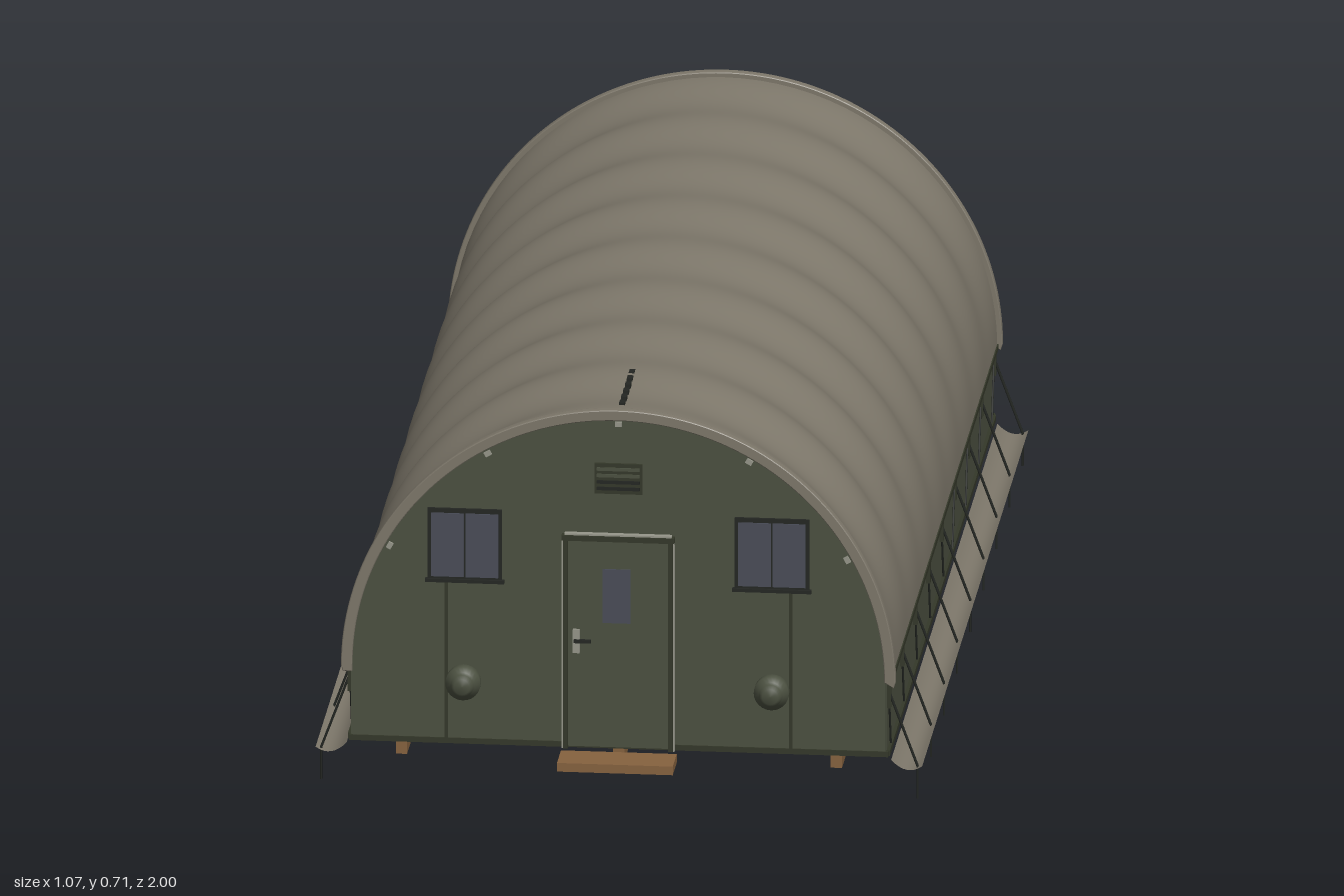
import * as THREE from 'three';

const mat = (name, color, side = THREE.FrontSide) => {
  const m = new THREE.MeshStandardMaterial({ color, side });
  m.name = name;
  return m;
};

export function createModel() {
  const model = new THREE.Group();
  model.name = 'tentShelter';
  const M = {
    canvas: mat('taupe canvas', 0x7d776a, THREE.DoubleSide),
    green: mat('olive fabric', 0x4b5040),
    trim: mat('dark olive trim', 0x343829),
    glass: mat('smoky glass', 0x4a4d58),
    black: mat('black cord', 0x232622),
    floor: mat('floor sheet', 0x25292c),
    wood: mat('timber', 0x86623f),
    metal: mat('pale metal', 0x96968a),
  };
  const RIBS = Array.from({ length: 9 }, (_, i) => -0.92 + i * 0.23);
  const CY = 0.22; // springing height of the arch

  const add = (parent, name, geo, material, x = 0, y = 0, z = 0) => {
    const mesh = new THREE.Mesh(geo, material);
    mesh.name = name;
    mesh.position.set(x, y, z);
    parent.add(mesh);
    return mesh;
  };
  const box = (parent, name, material, w, h, d, x, y, z) =>
    add(parent, name, new THREE.BoxGeometry(w, h, d), material, x, y, z);
  const rod = (parent, name, material, a, b, r) => {
    const A = new THREE.Vector3(...a), B = new THREE.Vector3(...b);
    const mesh = add(parent, name, new THREE.CylinderGeometry(r, r, A.distanceTo(B), 6), material);
    mesh.position.copy(A).add(B).multiplyScalar(0.5);
    mesh.quaternion.setFromUnitVectors(new THREE.Vector3(0, 1, 0), B.sub(A).normalize());
    return mesh;
  };
  // Arched outline with straight legs down to yLow
  const archShape = (r, yLow) => {
    const s = new THREE.Shape();
    s.moveTo(-r, yLow);
    s.lineTo(r, yLow);
    s.lineTo(r, CY);
    s.absarc(0, CY, r, 0, Math.PI, false);
    s.lineTo(-r, yLow);
    return s;
  };

  // Canvas roof: barrel that sags between the ribs, most at the haunches
  const roof = new THREE.PlaneGeometry(1, 1, 48, 128);
  const p = roof.attributes.position;
  for (let i = 0; i < p.count; i++) {
    const t = (0.5 - p.getX(i)) * Math.PI;
    const z = -p.getY(i) * 1.86;
    const wave = Math.sin((z / 0.23) * Math.PI) ** 2;
    const r = 0.482 - wave * (0.01 * Math.sin(t) + 0.014 * Math.sin(2 * t) ** 2);
    p.setXYZ(i, r * Math.cos(t), CY + r * Math.sin(t), z);
  }
  roof.computeVertexNormals();
  add(model, 'roofCanvas', roof, M.canvas);

  // Hoop trims closing the roof at both ends
  const hoop = new THREE.Shape();
  hoop.absarc(0, CY, 0.491, 0, Math.PI, false);
  hoop.lineTo(-0.488, 0.21);
  hoop.lineTo(-0.471, 0.21);
  hoop.absarc(0, CY, 0.471, Math.PI, 0, true);
  hoop.lineTo(0.488, 0.21);
  for (const z of [0.936, -0.936]) {
    const g = new THREE.ExtrudeGeometry(hoop, {
      depth: 0.01, curveSegments: 48, bevelEnabled: true,
      bevelThickness: 0.004, bevelSize: 0.002, bevelOffset: -0.002, bevelSegments: 2,
    });
    add(model, 'endHoop', g, M.canvas, 0, 0, z - 0.005);
  }

  // Timber runners, floor sheet and steps
  box(model, 'floor', M.floor, 0.945, 0.008, 1.86, 0, 0.084, 0);
  for (const x of [-0.385, 0, 0.385]) box(model, 'runner', M.wood, 0.02, 0.025, 1.86, x, 0.0675, 0);
  for (const z of [-0.965, 0.965]) box(model, 'step', M.wood, 0.205, 0.016, 0.07, 0, 0.063, z);

  // Vent slots along the ridge near the front
  for (let i = 0; i < 6; i++) box(model, 'ridgeSlot', M.black, 0.01, 0.008, 0.018, 0, 0.699, 0.70 + i * 0.034);

  // Side walls, ground flaps, stakes and guy lines
  for (const s of [-1, 1]) {
    box(model, 'sideWall', M.green, 0.006, 0.145, 1.86, s * 0.471, 0.1525, 0);
    box(model, 'wallHem', M.trim, 0.008, 0.01, 1.86, s * 0.476, 0.085, 0);
    box(model, 'roofHem', M.trim, 0.008, 0.01, 1.86, s * 0.48, 0.217, 0);

    const flap = new THREE.PlaneGeometry(1, 1.86, 8, 1);
    flap.rotateX(-Math.PI / 2);
    const f = flap.attributes.position;
    for (let i = 0; i < f.count; i++) {
      const u = f.getX(i) + 0.5;
      f.setX(i, 0.482 + u * 0.055);
      f.setY(i, 0.055 + 0.05 * (u - 0.6) ** 2);
    }
    if (s < 0) flap.rotateY(Math.PI);
    flap.computeVertexNormals();
    add(model, 'groundFlap', flap, M.canvas);

    for (const z of RIBS) {
      rod(model, 'stake', M.black, [s * 0.528, 0, z], [s * 0.528, 0.062, z], 0.002);
      rod(model, 'guyLine', M.black, [s * 0.478, 0.195, z], [s * 0.528, 0.06, z], 0.0025);
      rod(model, 'wallCord', M.black, [s * 0.477, 0.2, z], [s * 0.477, 0.09, z - Math.sign(z || 1) * 0.035], 0.002);
      box(model, 'strapLoop', M.trim, 0.008, 0.045, 0.012, s * 0.477, 0.19, z);
    }
  }

  // End walls, built facing +z; the rear one is turned round
  const endWall = (front) => {
    const g = new THREE.Group();
    g.name = front ? 'frontWall' : 'backWall';
    const Z = 0.935;
    const wall = new THREE.ExtrudeGeometry(archShape(0.473, 0.08), { depth: 0.008, bevelEnabled: false, curveSegments: 48 });
    add(g, 'wallPanel', wall, M.green, 0, 0, Z - 0.008);
    box(g, 'wallHem', M.trim, 0.955, 0.01, 0.006, 0, 0.085, Z - 0.001);

    // Door with frame, pane and latch
    for (const s of [-1, 1]) {
      box(g, 'doorJamb', M.trim, 0.008, 0.395, 0.014, s * 0.093, 0.2775, Z + 0.004);
      box(g, 'doorEdge', M.metal, 0.003, 0.39, 0.012, s * 0.0985, 0.275, Z + 0.004);
    }
    box(g, 'doorHeader', M.trim, 0.2, 0.01, 0.016, 0, 0.472, Z + 0.005);
    box(g, 'doorDripEdge', M.metal, 0.19, 0.003, 0.014, 0, 0.4785, Z + 0.004);
    box(g, 'door', M.green, 0.178, 0.382, 0.008, 0, 0.275, Z + 0.003);
    box(g, 'doorWindow', M.glass, 0.05, 0.1, 0.004, -0.003, 0.365, Z + 0.007);
    const hx = front ? -0.074 : 0.074;
    box(g, 'latchPlate', M.metal, 0.012, 0.044, 0.005, hx, 0.28, Z + 0.009);
    box(g, 'latchLever', M.black, 0.03, 0.006, 0.006, hx * 0.85, 0.281, Z + 0.013);

    // Louvred vent over the door
    box(g, 'ventFrame', M.trim, 0.085, 0.056, 0.006, 0, 0.582, Z + 0.002);
    for (let i = 0; i < 4; i++) box(g, 'ventLouvre', i < 2 ? M.black : M.green, 0.076, 0.006, 0.006, 0, 0.564 + i * 0.012, Z + 0.004);

    for (const s of [-1, 1]) {
      // Windows
      box(g, 'windowFrame', M.black, 0.132, 0.134, 0.006, s * 0.272, 0.45, Z + 0.002);
      for (const k of [-1, 1]) box(g, 'windowPane', M.glass, 0.058, 0.118, 0.004, s * 0.272 + k * 0.0305, 0.45, Z + 0.005);
      box(g, 'windowSill', M.black, 0.14, 0.006, 0.012, s * 0.272, 0.384, Z + 0.004);
      box(g, 'wallSeam', M.trim, 0.006, 0.3, 0.004, s * 0.305, 0.232, Z + 0.001);

      // Round duct ports on the front only
      if (front) {
        const port = new THREE.LatheGeometry(
          [[0, 0.048], [0.014, 0.047], [0.02, 0.04], [0.022, 0.032], [0.031, 0.028], [0.031, 0.012], [0.026, 0.006], [0.026, 0]]
            .map(([x, y]) => new THREE.Vector2(x, y)).reverse(), 24);
        port.rotateX(Math.PI / 2);
        add(g, 'ductPort', port, M.green, s * 0.273, 0.2, Z);
      }
    }
    if (!front) box(g, 'noticePlate', M.metal, 0.048, 0.034, 0.005, -0.158, 0.355, Z + 0.002);

    // Clips around the arch
    for (const a of [29, 60, 90, 120, 151]) {
      const t = THREE.MathUtils.degToRad(a);
      const clip = box(g, 'archClip', M.metal, 0.012, 0.009, 0.005, 0.463 * Math.cos(t), CY + 0.463 * Math.sin(t), Z + 0.002);
      clip.rotation.z = t - Math.PI / 2;
    }
    if (!front) g.rotation.y = Math.PI;
    model.add(g);
  };
  endWall(true);
  endWall(false);

  return model;
}
